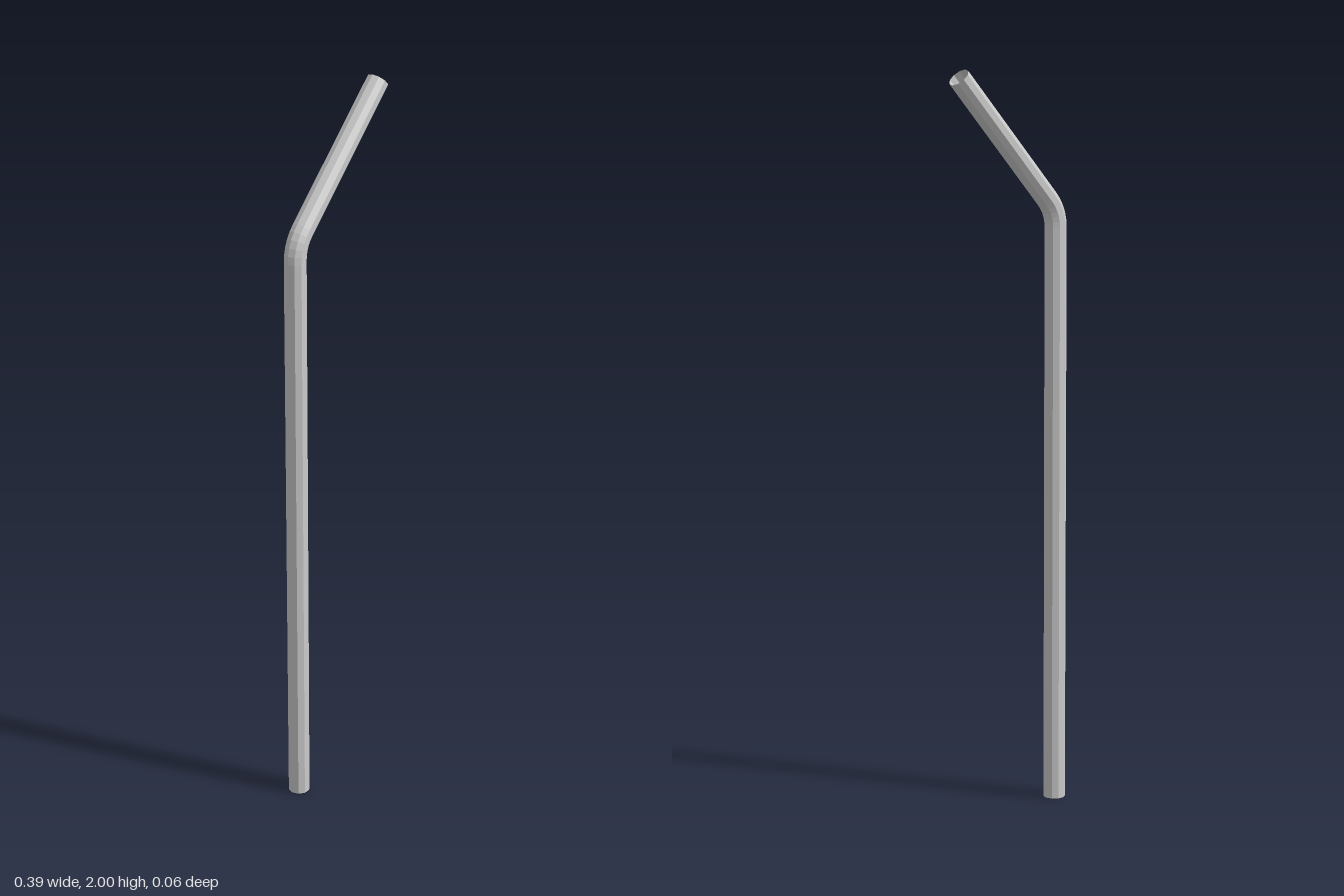
import * as THREE from 'three';

const RADIUS = 0.03;
const SIDES = 10;
const TILT = THREE.MathUtils.degToRad(46.5); // rise of the upper arm above horizontal

// Centre line: long stem, short rounded bend, slanted mouth end
function pathRings() {
  const end = new THREE.Vector2(0.172, 1.979);
  const dir = new THREE.Vector2(Math.cos(TILT), Math.sin(TILT));
  const stemX = -0.163;
  const corner = new THREE.Vector2(stemX, end.y - (end.x - stemX) * Math.tan(TILT));
  const reach = 0.045;
  const bend = new THREE.QuadraticBezierCurve(
    new THREE.Vector2(stemX, corner.y - reach),
    corner,
    corner.clone().addScaledVector(dir, reach)
  );
  const rings = [{ p: new THREE.Vector2(stemX, 0), t: new THREE.Vector2(0, 1) }];
  const steps = 5;
  for (let i = 0; i <= steps; i++) {
    rings.push({ p: bend.getPoint(i / steps), t: bend.getTangent(i / steps) });
  }
  rings.push({ p: end, t: dir });
  return rings;
}

export function createModel() {
  const group = new THREE.Group();
  group.name = 'bentStraw';

  // Open ten-sided cylinder whose rings are moved onto the centre line
  const rings = pathRings();
  const last = rings.length - 1;
  const geometry = new THREE.CylinderGeometry(RADIUS, RADIUS, last, SIDES, last, true, Math.PI / 2);
  const pos = geometry.attributes.position;
  for (let i = 0; i < pos.count; i++) {
    const { p, t } = rings[Math.round(pos.getY(i) + last / 2)];
    const across = pos.getX(i);
    pos.setXYZ(i, p.x + across * t.y, p.y - across * t.x, pos.getZ(i));
  }
  geometry.computeVertexNormals();

  const tube = new THREE.Mesh(
    geometry,
    new THREE.MeshStandardMaterial({ color: 0xcccccc, flatShading: true, side: THREE.DoubleSide })
  );
  tube.name = 'strawTube';
  group.add(tube);
  return group;
}
